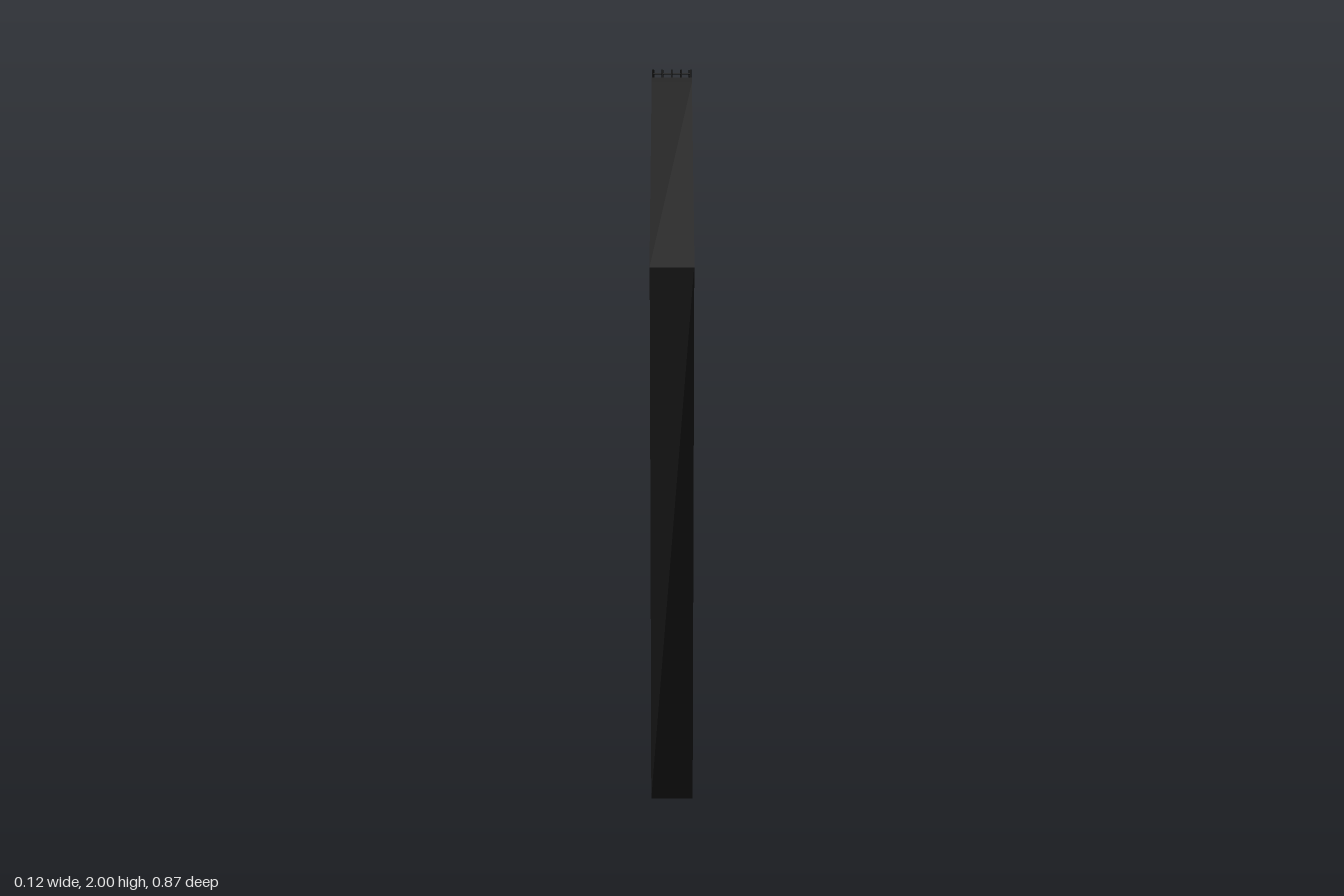
import * as THREE from 'three';

const HALF = 0.058; // half thickness of the slab in x

// Extrude a side outline, given as [z, y] points, across the slab thickness
function sideExtrude(name, points, material) {
  const shape = new THREE.Shape(points.map(([z, y]) => new THREE.Vector2(-z, y)));
  const geometry = new THREE.ExtrudeGeometry(shape, { depth: HALF * 2, bevelEnabled: false });
  geometry.translate(0, 0, -HALF);
  geometry.rotateY(Math.PI / 2);
  const mesh = new THREE.Mesh(geometry, material);
  mesh.name = name;
  return mesh;
}

function box(name, size, position, material) {
  const mesh = new THREE.Mesh(new THREE.BoxGeometry(...size), material);
  mesh.name = name;
  mesh.position.set(...position);
  return mesh;
}

export function createModel() {
  const model = new THREE.Group();
  model.name = 'slopedTower';
  const wallMaterial = new THREE.MeshStandardMaterial({ color: 0x020202 });
  const roofMaterial = new THREE.MeshStandardMaterial({ color: 0x000000 });

  // Tall plain wall block
  model.add(box('wall', [HALF * 2, 1.5, 0.825], [0, 0.75, -0.0185], wallMaterial));

  // Sloped cap with a pointed overhang at the front and a flat top at the back
  model.add(sideExtrude('slopedCap', [
    [0.434, 1.498], [-0.432, 1.498], [-0.432, 1.963], [-0.15, 1.963],
  ], roofMaterial));

  // Raised kerbs at both ends of the flat top, each with a row of posts and a rail
  for (const [name, z] of [['frontParapet', -0.164], ['backParapet', -0.418]]) {
    const parapet = new THREE.Group();
    parapet.name = name;
    parapet.add(box('kerb', [HALF * 2, 0.022, 0.028], [0, 1.967, z], roofMaterial));
    parapet.add(box('rail', [HALF * 2 - 0.004, 0.003, 0.003], [0, 1.988, z], roofMaterial));
    for (let i = -2; i <= 2; i++) {
      const post = new THREE.Mesh(new THREE.CylinderGeometry(0.0025, 0.0025, 0.024, 8), roofMaterial);
      post.name = 'post';
      post.position.set(i * 0.0272, 1.988, z);
      parapet.add(post);
    }
    model.add(parapet);
  }
  return model;
}
